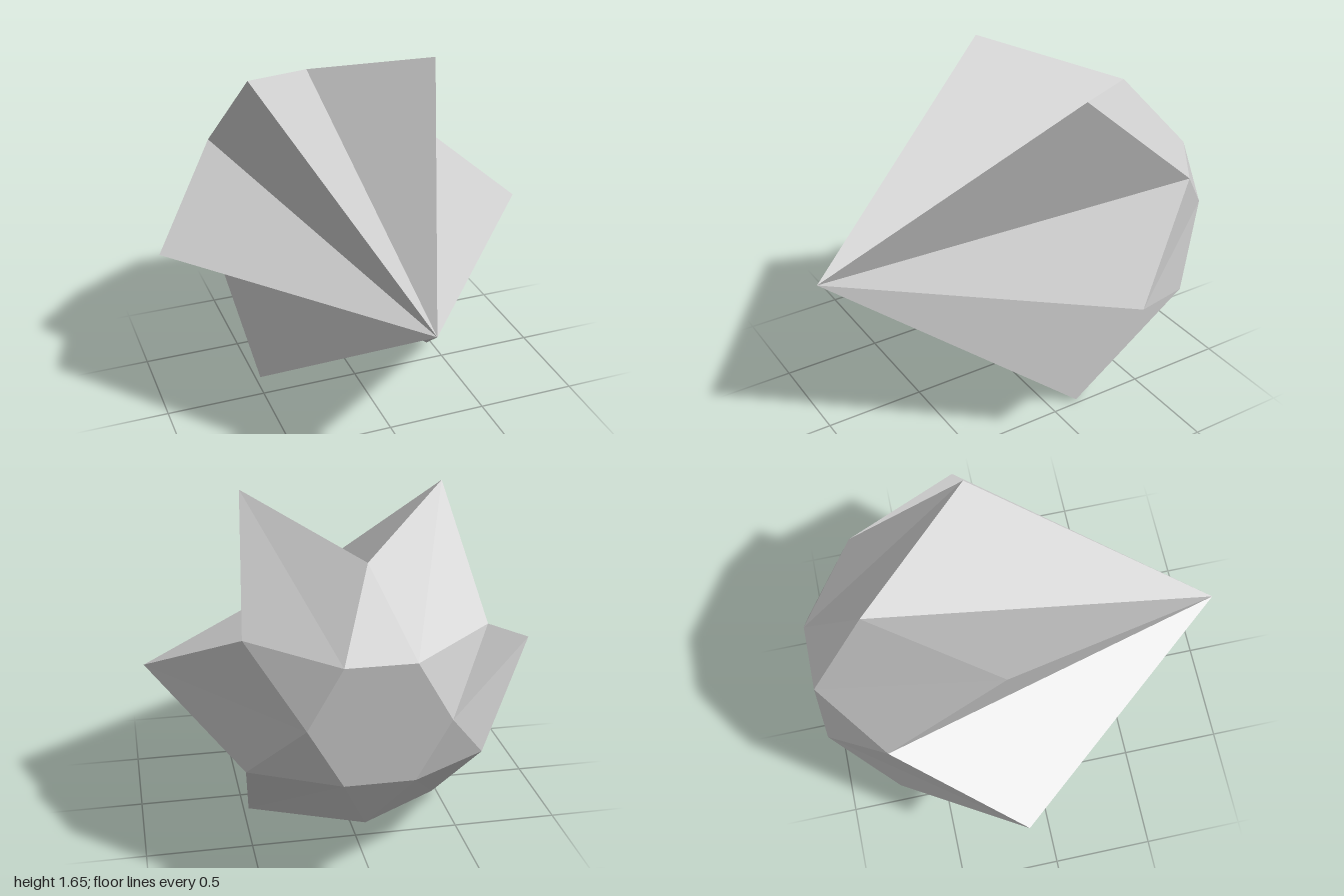
import * as THREE from 'three';

const CENTRE_Y = 0.823;
const SIDES = 6;

// Point on a ring around the z axis; step counts in sixths of a turn
function ringPoint(step, radius, z) {
  const a = (step / SIDES) * Math.PI * 2;
  return [Math.cos(a) * radius, Math.sin(a) * radius, z];
}

const point = (i) => ringPoint(i, 0.95, -0.145);         // outer star point
const valley = (i) => ringPoint(i + 0.5, 0.628, -0.715); // notch between points
const rim = (i) => ringPoint(i, 0.315, -1);              // back hexagon corner

function facetMesh(name, triangles, material) {
  const geometry = new THREE.BufferGeometry();
  geometry.setAttribute('position', new THREE.Float32BufferAttribute(triangles.flat(2), 3));
  geometry.computeVertexNormals(); // unshared corners give flat facets
  const mesh = new THREE.Mesh(geometry, material);
  mesh.name = name;
  mesh.position.y = CENTRE_Y;
  return mesh;
}

export function createModel() {
  const group = new THREE.Group();
  group.name = 'facetedStar';
  const grey = new THREE.MeshStandardMaterial({ color: 0xcccccc });
  grey.name = 'light grey';

  const apex = [0, 0, 1];
  const backCentre = [0, 0, -1];
  const front = [], shoulder = [], cap = [];
  for (let i = 0; i < SIDES; i++) {
    // Long star facets meeting at the front apex
    front.push([apex, point(i), valley(i)], [apex, valley(i), point(i + 1)]);
    // Facets closing in from the star outline to the back hexagon
    shoulder.push(
      [valley(i), point(i), rim(i)],
      [point(i + 1), valley(i), rim(i + 1)],
      [valley(i), rim(i), rim(i + 1)]
    );
    // Flat hexagonal back
    cap.push([backCentre, rim(i + 1), rim(i)]);
  }

  group.add(
    facetMesh('frontSpike', front, grey),
    facetMesh('backShoulder', shoulder, grey),
    facetMesh('backCap', cap, grey)
  );
  return group;
}
